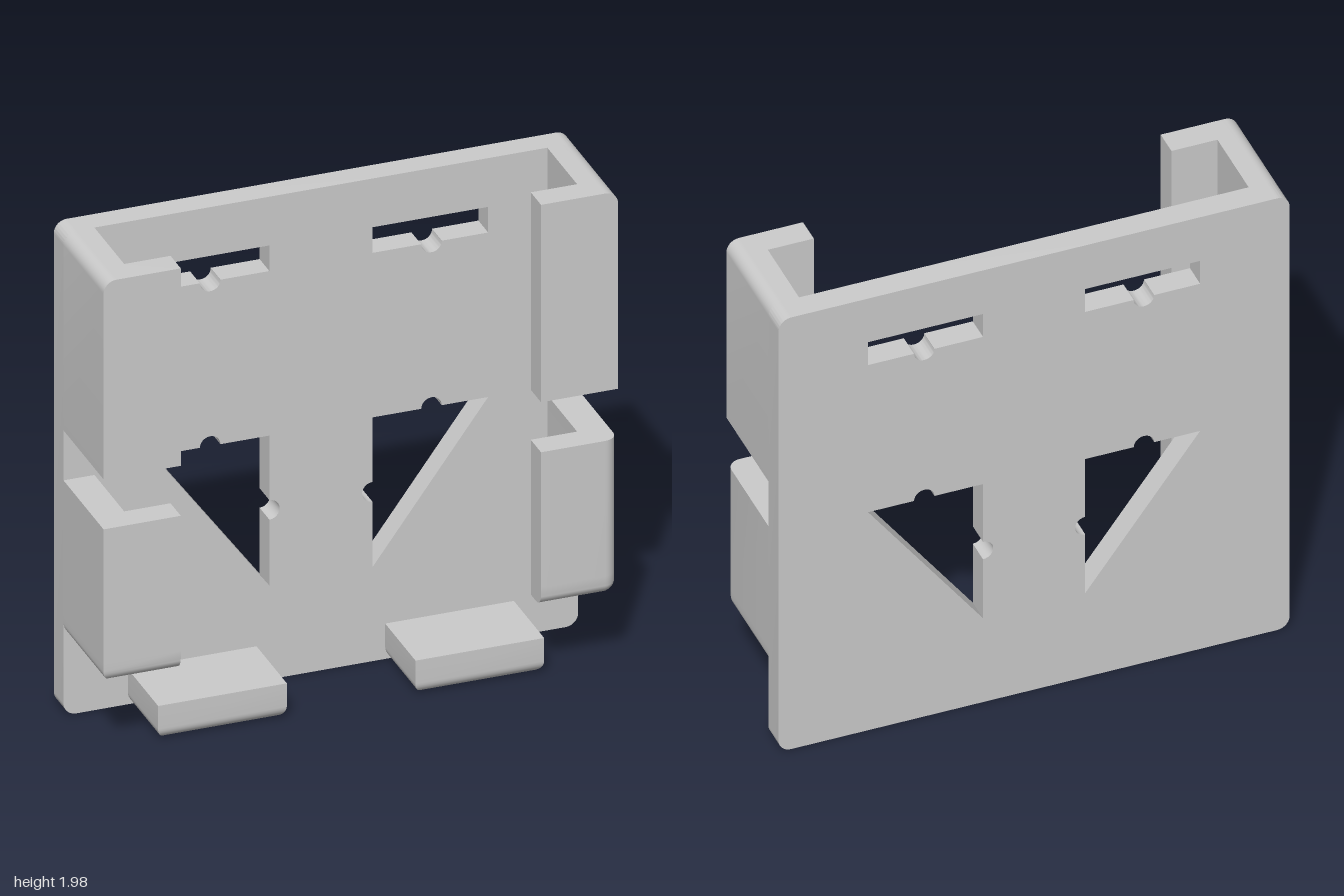
import * as THREE from 'three';
import { toCreasedNormals } from 'three/addons/utils/BufferGeometryUtils.js';

const material = new THREE.MeshStandardMaterial({ color: 0xcccccc });
const R = 0.05, BACK = -0.255, PLATE = -0.155, FRONT = 0.255, TOP = 1.98;
const STEPS = 8;

// How far a rounded edge of radius r is set back at distance t from its end
const inset = (t, r = R) => (t >= r ? 0 : r - Math.sqrt(r * r - (r - t) ** 2));

// Heights that follow the rounded edge at the bottom of a part
const roundedLevels = (y0) =>
  Array.from({ length: STEPS + 1 }, (_, i) => y0 + R * (1 - Math.cos((i / STEPS) * Math.PI / 2)));

// Closed solid through horizontal sections of [x, z] points
function loft(levels, section) {
  let rings = levels.map((y) => section(y).map(([x, z]) => new THREE.Vector2(x, z)));
  if (THREE.ShapeUtils.area(rings[rings.length - 1]) < 0) rings = rings.map((r) => r.reverse());
  const n = rings[0].length, last = (rings.length - 1) * n;
  const positions = rings.flatMap((ring, k) => ring.flatMap((p) => [p.x, levels[k], p.y]));
  const index = [];
  for (let k = 0; k < rings.length - 1; k++) {
    for (let i = 0; i < n; i++) {
      const a = k * n + i, b = k * n + ((i + 1) % n);
      index.push(a, a + n, b, b, a + n, b + n);
    }
  }
  for (const [a, b, c] of THREE.ShapeUtils.triangulateShape(rings[0], [])) index.push(a, b, c);
  for (const [a, b, c] of THREE.ShapeUtils.triangulateShape(rings[rings.length - 1], [])) {
    index.push(last + a, last + c, last + b);
  }
  const geometry = new THREE.BufferGeometry();
  geometry.setAttribute('position', new THREE.Float32BufferAttribute(positions, 3));
  geometry.setIndex(index);
  return toCreasedNormals(geometry.toNonIndexed(), 0.5);
}

// L-shaped hook section: side wall plus inward lip, optionally with a round front corner
function hookSection(side, outer, front, inner, cornerRadius) {
  const points = [[inner, PLATE], [outer, PLATE]];
  if (cornerRadius > 0) {
    for (let i = 0; i <= STEPS; i++) {
      const a = (i / STEPS) * Math.PI / 2;
      points.push([outer - cornerRadius * (1 - Math.cos(a)), front - cornerRadius * (1 - Math.sin(a))]);
    }
  } else points.push([outer, front]);
  points.push([0.7, front], [0.7, 0.15], [inner, 0.15]);
  return points.map(([x, z]) => [side * x, z]);
}

// Slot with a round notch in its lower edge
function slotHole(side) {
  const p = new THREE.Path();
  p.moveTo(side * 0.2, 1.78).lineTo(side * 0.2, 1.675);
  p.lineTo(side * 0.39, 1.675);
  p.absarc(side * 0.43, 1.675, 0.04, side > 0 ? Math.PI : 0, side > 0 ? 2 * Math.PI : Math.PI, side < 0);
  p.lineTo(side * 0.65, 1.675).lineTo(side * 0.65, 1.78);
  p.closePath();
  return p;
}

// Triangle with round notches in its top and inner edges
function triangleHole(side) {
  const points = [[0.65, 1.0]];
  const notch = (x, y, start) => {
    for (let i = 0; i <= 12; i++) {
      const a = start + (i / 12) * Math.PI;
      points.push([x + 0.04 * Math.cos(a), y + 0.04 * Math.sin(a)]);
    }
  };
  notch(0.43, 1.0, 0);
  points.push([0.2, 1.0]);
  notch(0.2, 0.695, Math.PI / 2);
  points.push([0.2, 0.385]);
  return new THREE.Path(points.map(([x, y]) => new THREE.Vector2(side * x, y)));
}

function plateGeometry() {
  const s = new THREE.Shape();
  s.moveTo(-1 + R, 0).lineTo(1 - R, 0);
  s.absarc(1 - R, R, R, -Math.PI / 2, 0);
  s.absarc(1 - R, TOP - R, R, 0, Math.PI / 2);
  s.absarc(-1 + R, TOP - R, R, Math.PI / 2, Math.PI);
  s.absarc(-1 + R, R, R, Math.PI, 1.5 * Math.PI);
  for (const side of [-1, 1]) s.holes.push(slotHole(side), triangleHole(side));
  const g = new THREE.ExtrudeGeometry(s, { depth: PLATE - BACK, bevelEnabled: false, curveSegments: 10 });
  g.translate(0, 0, BACK);
  return toCreasedNormals(g, 0.5);
}

export function createModel() {
  const group = new THREE.Group();
  const add = (name, geometry) => {
    const mesh = new THREE.Mesh(geometry, material);
    mesh.name = name;
    group.add(mesh);
  };

  add('backPlate', plateGeometry());

  for (const side of [-1, 1]) {
    const label = side > 0 ? 'left' : 'right';

    // Upper hook, rounded along its top outer edge
    const upperLevels = [1.17, ...roundedLevels(0).map((t) => TOP - t).reverse()];
    add(label + 'UpperHook', loft(upperLevels, (y) =>
      hookSection(side, 1 - inset(TOP - y), FRONT, 0.88, 0)));

    // Lower hook, rounded below, its inner wall curving in toward the bottom
    const bottom = 0.33;
    add(label + 'LowerHook', loft([...roundedLevels(bottom), 0.41, 0.43, 0.965], (y) => {
      const d = inset(y - bottom);
      const inner = 0.88 - inset(y - 0.15, 0.28);
      return hookSection(side, 1 - d, FRONT - d, inner, side > 0 ? R - d + 1e-4 : 0);
    }));

    // Bottom support, rounded below at the front and both ends
    add(label + 'Foot', loft([...roundedLevels(0), 0.145], (y) => {
      const d = inset(y);
      const a = side * (0.25 + d), b = side * (0.75 - d);
      return [[a, PLATE], [b, PLATE], [b, 0.155 - d], [a, 0.155 - d]];
    }));
  }
  return group;
}
